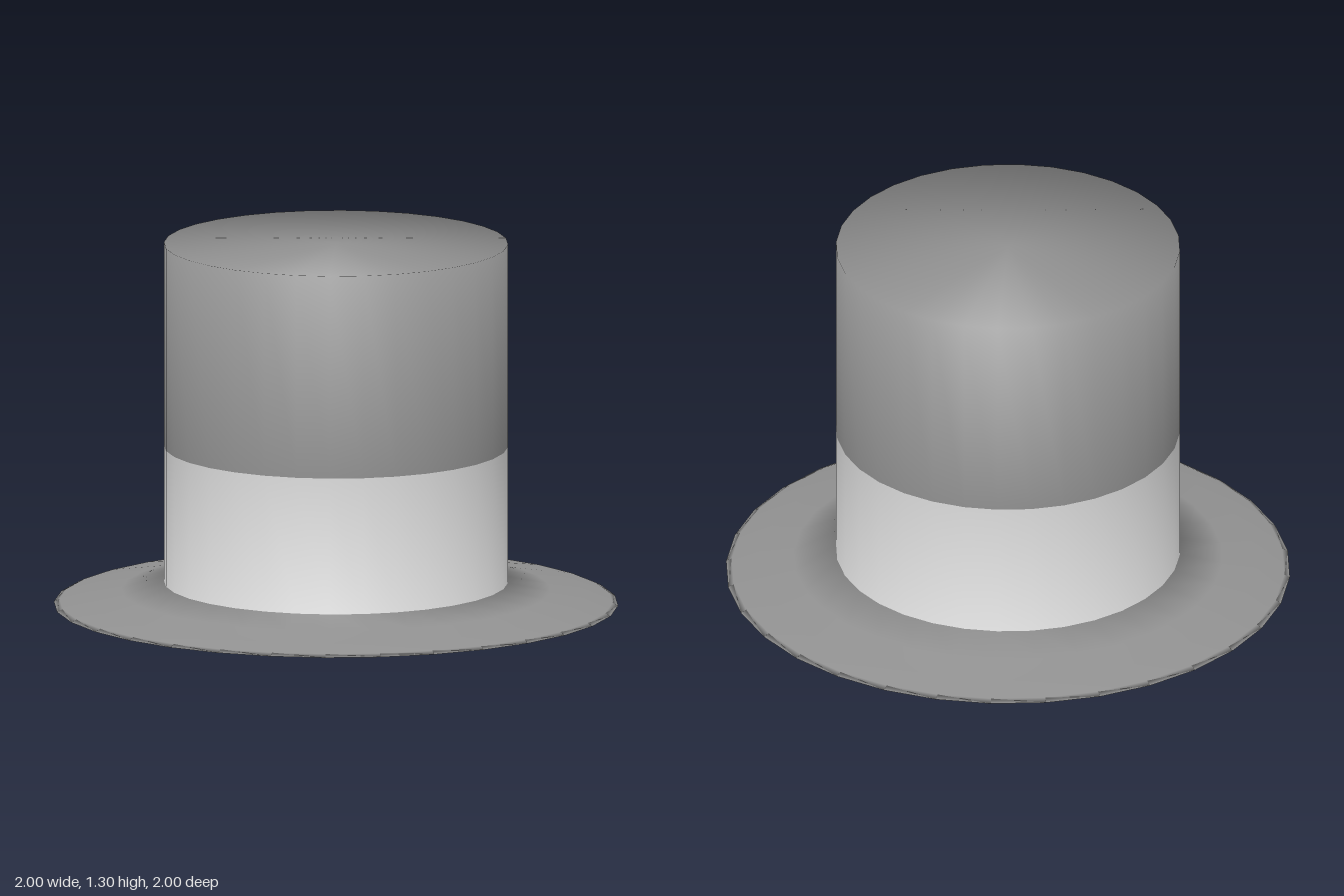
import * as THREE from 'three';

const SEGMENTS = 32;

// Hat outline from the underside centre, round the brim and up to the top centre
const PROFILE = [
  [0, 0], [1, 0], [0.98, 0.01], [0.88, 0.028], [0.76, 0.05],
  [0.61, 0.08], [0.61, 0.57], [0.61, 1.3], [0, 1.3],
].map(([r, y]) => new THREE.Vector2(r, y));

// Keeps only the rings of the lathe between two profile points, so that
// the parts share smooth normals where they meet
function ringSlice(lathe, from, to) {
  const n = PROFILE.length;
  const index = [];
  for (let s = 0; s < SEGMENTS; s++) {
    for (let j = from; j < to; j++) {
      const a = s * n + j, b = a + n, c = b + 1, d = a + 1;
      if (j > 0) index.push(a, b, d);           // skip empty triangles at the axis
      if (j < n - 2) index.push(c, d, b);
      else index.push(a, b, d);
      if (j === n - 2) index.splice(-3);
    }
  }
  const geometry = lathe.clone();
  geometry.setIndex(index);
  return geometry;
}

export function createModel() {
  const felt = new THREE.MeshStandardMaterial({ name: 'greyFelt', color: 0x919191 });
  const ribbon = new THREE.MeshStandardMaterial({ name: 'paleRibbon', color: 0xdcdcdc });

  const lathe = new THREE.LatheGeometry(PROFILE, SEGMENTS);

  // Underside is smoothed radially from its centre
  const normals = lathe.attributes.normal;
  for (let s = 0; s <= SEGMENTS; s++) {
    const angle = (s / SEGMENTS) * Math.PI * 2;
    normals.setXYZ(s * PROFILE.length, Math.sin(angle), 0, Math.cos(angle));
  }

  const hat = new THREE.Group();
  hat.name = 'topHat';
  const parts = [
    ['brim', 0, 5, felt],
    ['hatBand', 5, 6, ribbon],
    ['crown', 6, 8, felt],
  ];
  for (const [name, from, to, material] of parts) {
    const mesh = new THREE.Mesh(ringSlice(lathe, from, to), material);
    mesh.name = name;
    hat.add(mesh);
  }
  return hat;
}
